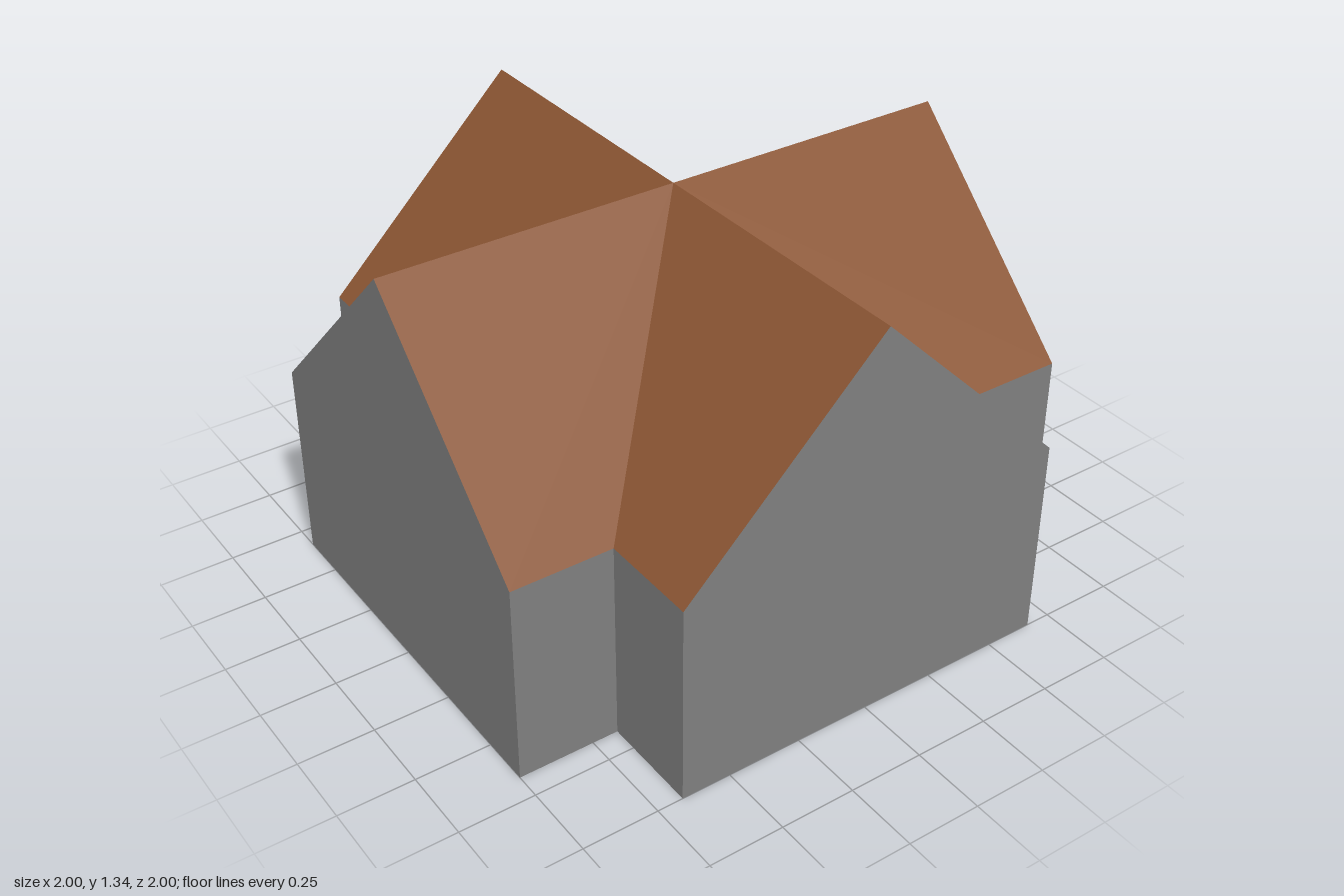
import * as THREE from 'three';

const W = 0.665;     // half width of a wing
const L = 1;         // distance from centre to gable
const EAVE = 0.68;
const RIDGE = 1.335;

const wallGrey = new THREE.MeshStandardMaterial({ color: 0x808080 });
wallGrey.name = 'wallGrey';
const roofBrown = new THREE.MeshStandardMaterial({ color: 0x8a5533 });
roofBrown.name = 'roofBrown';

// Flat convex face; corners run counter-clockwise seen from outside
function face(name, material, corners) {
  const geometry = new THREE.BufferGeometry().setFromPoints(corners.map((c) => new THREE.Vector3(...c)));
  const index = [];
  for (let i = 1; i < corners.length - 1; i++) index.push(0, i, i + 1);
  geometry.setIndex(index);
  geometry.computeVertexNormals();
  const mesh = new THREE.Mesh(geometry, material);
  mesh.name = name;
  return mesh;
}

// One gabled wing facing +z, reaching in to the central roof valleys
function createWing() {
  const wing = new THREE.Group();
  wing.add(
    face('gableWall', wallGrey, [[-W, 0, L], [W, 0, L], [W, EAVE, L], [0, RIDGE, L], [-W, EAVE, L]]),
    face('leftWall', wallGrey, [[W, 0, L], [W, 0, W], [W, EAVE, W], [W, EAVE, L]]),
    face('rightWall', wallGrey, [[-W, 0, W], [-W, 0, L], [-W, EAVE, L], [-W, EAVE, W]]),
    face('leftRoof', roofBrown, [[0, RIDGE, 0], [0, RIDGE, L], [W, EAVE, L], [W, EAVE, W]]),
    face('rightRoof', roofBrown, [[0, RIDGE, 0], [-W, EAVE, W], [-W, EAVE, L], [0, RIDGE, L]]),
    face('floor', wallGrey, [[0, 0, 0], [W, 0, W], [W, 0, L], [-W, 0, L], [-W, 0, W]]),
  );
  return wing;
}

export function createModel() {
  const house = new THREE.Group();
  house.name = 'crossGabledHouse';
  // Four equal wings around the centre
  ['frontWing', 'leftWing', 'backWing', 'rightWing'].forEach((name, i) => {
    const wing = createWing();
    wing.name = name;
    wing.rotation.y = (i * Math.PI) / 2;
    house.add(wing);
  });
  return house;
}
